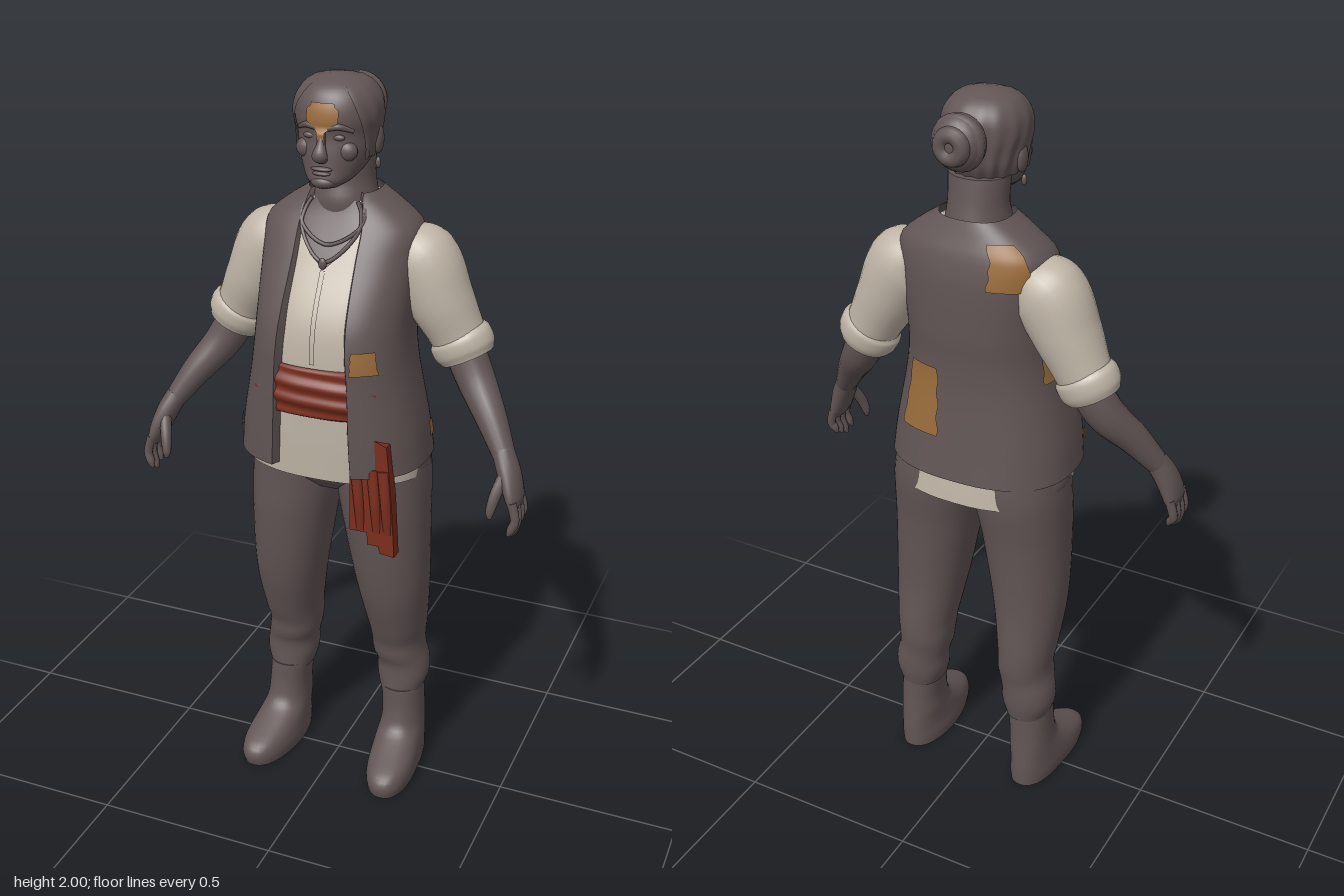
import * as THREE from 'three';

const PI = Math.PI;
const paint = (name, color) => Object.assign(
  new THREE.MeshStandardMaterial({ color, side: THREE.DoubleSide }), { name });

// Surface from a rule fn(u, v); u runs around, v runs along, optional flat end caps
function grid(fn, nu, nv, closed = false, caps = false) {
  const rows = [];
  for (let j = 0; j <= nv; j++) {
    const row = [];
    for (let i = 0; i < (closed ? nu : nu + 1); i++) row.push(fn(i / nu, j / nv));
    rows.push(row);
  }
  if (caps) {
    const middle = (row) => {
      const c = new THREE.Vector3();
      row.forEach((p) => c.add(p));
      c.divideScalar(row.length);
      return row.map(() => c);
    };
    const first = rows[0], last = rows[nv];
    rows.unshift(middle(first), first);
    rows.push(last, middle(last));
  }
  const n = rows[0].length, index = [];
  for (let j = 0; j < rows.length - 1; j++) {
    for (let i = 0; i < nu; i++) {
      const a = j * n + i, b = j * n + (i + 1) % n;
      index.push(a, b, b + n, a, b + n, a + n);
    }
  }
  const g = new THREE.BufferGeometry().setFromPoints(rows.flat());
  g.setIndex(index);
  g.computeVertexNormals();
  return g;
}

// Smooth lookup in a table of rows [y, xMin, xMax, zFront, zBack, ...]
function rowAt(t, y) {
  let k = 0;
  while (k < t.length - 2 && y > t[k + 1][0]) k++;
  const a = t[k], b = t[k + 1], p = t[k - 1] || a, q = t[k + 2] || b;
  const h = b[0] - a[0], s = (y - a[0]) / h;
  return a.map((_, i) => {
    const m0 = (b[i] - p[i]) / (b[0] - p[0]) * h, m1 = (q[i] - a[i]) / (q[0] - a[0]) * h;
    return (2 * s ** 3 - 3 * s * s + 1) * a[i] + (s ** 3 - 2 * s * s + s) * m0
      + (3 * s * s - 2 * s ** 3) * b[i] + (s ** 3 - s * s) * m1;
  });
}
const power = (v, e) => Math.sign(v) * Math.abs(v) ** e;

// Point on a body; the angle starts at the front and turns toward +x
function bodyPoint(body, y, angle, off = 0) {
  const [, x0, x1, zf, zb] = rowAt(body.table, y), e = 2 / body.n;
  const p = new THREE.Vector3(
    (x0 + x1) / 2 + ((x1 - x0) / 2 + off) * power(Math.sin(angle), e), y,
    (zf + zb) / 2 + ((zf - zb) / 2 + off) * power(Math.cos(angle), e));
  if (body.warp) body.warp(p);
  return p;
}
function loft(body, nv = 36, nu = 40) {
  const lo = body.table[0][0], hi = body.table.at(-1)[0];
  return grid((u, v) => bodyPoint(body, lo + (hi - lo) * v, u * 2 * PI), nu, nv, true, true);
}
// Thin piece lying on a body
function patch(body, y0, y1, a0, a1, off = 0.005, width = () => 1, nu = 14, nv = 14) {
  const mid = (a0 + a1) / 2, half = (a1 - a0) / 2;
  const lift = typeof off === 'function' ? off : () => off;
  return grid((u, v) => bodyPoint(body, y0 + (y1 - y0) * v,
    mid + half * (2 * u - 1) * width(v), lift(u, v)), nu, nv);
}
// Limb along stations [x, y, z, radius across, radius in depth]
function limb(st, nu = 18, nv = 20) {
  const curve = new THREE.CatmullRomCurve3(st.map((s) => new THREE.Vector3(...s)));
  const table = st.map((s, i) => [i / (st.length - 1), s[3], s[4] ?? s[3]]);
  return grid((u, v) => {
    const t = curve.getTangent(v);
    const b = new THREE.Vector3(0, 0, 1).addScaledVector(t, -t.z).normalize();
    const n = b.clone().cross(t), [, ra, rb] = rowAt(table, v), a = u * 2 * PI;
    return curve.getPoint(v).addScaledVector(n, ra * Math.cos(a)).addScaledVector(b, rb * Math.sin(a));
  }, nu, nv, true, true);
}
const blob = (x, y, z, rx, ry, rz) =>
  new THREE.SphereGeometry(1, 20, 14).scale(rx, ry, rz).translate(x, y, z);
// Mirror across x = 0, keeping faces outward
function mirrored(g) {
  const m = g.clone().scale(-1, 1, 1), ix = m.index.array;
  for (let i = 0; i < ix.length; i += 3) [ix[i], ix[i + 1]] = [ix[i + 1], ix[i]];
  m.computeVertexNormals();
  return m;
}

export function createModel() {
  const model = new THREE.Group();
  const umber = paint('umber', 0x625555), cream = paint('cream', 0xbfb4a6);
  const red = paint('brick red', 0x7a2d1d), tan = paint('tan', 0x9a6c3b);
  const add = (name, g, mat) => {
    const m = new THREE.Mesh(g, mat);
    m.name = name;
    model.add(m);
  };
  const pair = (name, g, mat) => { add(name + 'Left', g, mat); add(name + 'Right', mirrored(g), mat); };
  const sym = (rows) => rows.map(([y, r, ...rest]) => [y, -r, r, ...rest]);

  // Head, neck and face
  const head = { n: 2.1, table: sym([[1.735, .03, .105, .04], [1.75, .055, .117, -.01], [1.78, .078, .113, -.07],
    [1.82, .093, .109, -.1], [1.86, .1, .104, -.108], [1.9, .107, .108, -.11], [1.94, .102, .1, -.105],
    [1.97, .083, .08, -.085], [1.988, .055, .047, -.055], [1.996, .012, .01, -.015]]) };
  add('head', loft(head, 44), umber);
  add('neck', loft({ n: 2, table: sym([[1.6, .1, .03, -.13], [1.68, .085, .04, -.132],
    [1.73, .077, .028, -.122], [1.8, .08, .03, -.11]]) }, 16), umber);
  add('nose', limb([[0, 1.875, .103, .008, .008], [0, 1.845, .113, .011, .011],
    [0, 1.818, .122, .02, .015], [0, 1.805, .112, .016, .01]]), umber);
  add('upperLip', blob(0, 1.784, .112, .028, .006, .01), umber);
  add('lowerLip', blob(0, 1.773, .111, .024, .006, .011), umber);
  add('chin', blob(0, 1.75, .1, .032, .017, .022), umber);
  pair('brow', limb([[.014, 1.882, .104, .007], [.04, 1.887, .1, .008], [.07, 1.875, .079, .005]]), umber);
  pair('eye', blob(.037, 1.86, .094, .017, .008, .008), umber);
  pair('cheek', blob(.052, 1.825, .078, .028, .025, .02), umber);
  pair('ear', blob(.1, 1.838, -.012, .012, .035, .022), umber);
  pair('earring', blob(.102, 1.782, -.005, .007, .014, .007), umber);
  add('foreheadPaint', patch(head, 1.835, 1.942, -.36, .36, (u, v) => v < .4 ? .014 : .005,
    (v) => v < .4 ? .22 : Math.min(1, .35 + (v - .4) * 3.5) * (v > .9 ? .75 : 1)), tan);

  // Swept-back hair and coiled bun
  add('hair', patch(head, 1.8, 1.995, 1.25, 2 * PI - 1.25,
    (u, v) => .004 + .003 * Math.sin(u * 70) * (1 - v), (v) => 1 + .4 * v, 90, 20), umber);
  add('bun', blob(0, 1.9, -.14, .068, .07, .052), umber);
  for (const [r, z] of [[.05, -.145], [.028, -.178]]) {
    add('bunCoil', new THREE.TorusGeometry(r, .021, 10, 28).translate(0, 1.9, z), umber);
  }

  // Shirt, open neckline and necklace
  const shirt = { n: 2.5, table: sym([[.975, .238, .172, -.19], [1.1, .23, .178, -.172], [1.25, .2, .18, -.155],
    [1.4, .185, .165, -.16], [1.55, .185, .09, -.158], [1.62, .175, .052, -.148], [1.66, .13, .032, -.138],
    [1.69, .085, .022, -.125]]),
  warp: (p) => { if (p.y < 1.08) p.y -= (1.08 - p.y) * Math.max(0, .15 - p.z) * 1.1; } };
  add('shirt', loft(shirt, 40, 48), cream);
  add('openNeckline', patch(shirt, 1.53, 1.685, -.5, .5, .005, (v) => Math.min(1, .02 + v * 1.15)), umber);
  add('shirtPlacket', patch(shirt, 1.3, 1.525, -.015, .015, .004), cream);
  for (const [drop, side] of [[1.545, .3], [1.585, .38]]) {
    const pts = [];
    for (let i = 0; i <= 20; i++) {
      const k = i / 10 - 1;
      pts.push(bodyPoint(shirt, drop + (1.685 - drop) * Math.abs(k) ** 1.3, side * 1.8 * k, .012));
    }
    add('necklace', new THREE.TubeGeometry(new THREE.CatmullRomCurve3(pts), 50, .005, 6), umber);
  }
  add('pendant', blob(0, 1.543, .108, .011, .015, .007), umber);

  // Waist sash with its hanging tail
  add('sash', patch(shirt, 1.155, 1.29, -.75, .75,
    (u, v) => .019 * Math.sin(PI * v) ** .35 + .004 * Math.sin(v * 19 + u * 3), () => 1, 24, 30), red);
  const tail = new THREE.Shape([[.1, 1.14], [.2, 1.1], [.215, .95], [.225, .785], [.185, .79], [.18, .81],
    [.15, .81], [.148, .845], [.1, .845]].map((p) => new THREE.Vector2(...p)));
  add('sashTail', new THREE.ExtrudeGeometry(tail, { depth: .035, bevelEnabled: false })
    .translate(0, 0, .135), red);
  for (const x of [.125, .17, .2]) {
    add('sashFold', limb([[x - .01, 1.03, .165, .016, .012], [x, .93, .168, .014, .013],
      [x + .005, .85, .163, .013, .01]]), red);
  }

  // Open vest; the last number in each row is half the front opening
  const vest = { n: 2.5, table: sym([[1.005, .255, .203, -.195, .11], [1.1, .244, .205, -.184, .105],
    [1.25, .216, .206, -.17, .1], [1.33, .205, .205, -.17, .095], [1.41, .202, .185, -.176, .09],
    [1.55, .207, .107, -.175, .085], [1.62, .203, .066, -.164, .085], [1.66, .16, .045, -.15, .08],
    [1.705, .092, .032, -.135, .07]]) };
  const edge = (y) => {
    const r = rowAt(vest.table, y);
    return Math.asin(Math.min(1, (r[5] / r[2]) ** (vest.n / 2)));
  };
  const vestY = (v) => 1.005 + .7 * v;
  add('vest', grid((u, v) => {
    const a = edge(vestY(v));
    return bodyPoint(vest, vestY(v), a + u * 2 * (PI - a));
  }, 60, 44), umber);
  pair('vestFrontEdge', grid((u, v) => bodyPoint(vest, vestY(v), edge(vestY(v)), -.025 * u), 2, 44), umber);
  add('vestHem', grid((u, v) => {
    const a = edge(1.005);
    return bodyPoint(vest, 1.005, a + u * 2 * (PI - a), -.025 * (1 - v));
  }, 60, 2), umber);

  // Cloth patches: bottom, top, start angle, end angle
  for (const [y0, y1, a0, a1] of [[1.29, 1.35, .43, .85], [1.55, 1.662, PI + .33, PI + .98],
    [1.12, 1.31, PI - .68, PI - .14], [1.28, 1.41, 1.5 * PI - .42, 1.5 * PI + .03],
    [1.05, 1.09, 1.5 * PI + .22, 1.5 * PI + .45], [1.06, 1.1, PI / 2 + .08, PI / 2 + .25]]) {
    add('clothPatch', patch(vest, y0, y1, a0, a1, .005, (v) => 1 - .15 * v + .04 * Math.sin(v * 17)), tan);
  }

  // Sleeves with rolled cuffs, forearms and hands
  pair('sleeve', limb([[.15, 1.57, -.06, .065, .075], [.2, 1.53, -.06, .098, .092], [.255, 1.43, -.06, .087, .088],
    [.3, 1.345, -.065, .074, .072], [.325, 1.295, -.065, .073, .066]], 26, 28), cream);
  pair('rolledCuff', limb([[.302, 1.345, -.065, .074, .068], [.31, 1.33, -.065, .084, .076],
    [.323, 1.302, -.065, .083, .074], [.333, 1.282, -.064, .072, .064]], 26, 14), cream);
  pair('forearm', limb([[.31, 1.32, -.07, .055, .05], [.36, 1.23, -.05, .051, .05],
    [.42, 1.15, -.002, .041, .042], [.472, 1.07, .04, .029, .033]]), umber);
  pair('palm', limb([[.465, 1.085, .035, .029, .032], [.492, 1.03, .055, .029, .043],
    [.512, .975, .067, .022, .05], [.518, .95, .068, .013, .045]]), umber);
  for (let i = 0; i < 4; i++) {
    const z = .03 + i * .025, tip = .872 + .012 * Math.abs(i - 2);
    pair('finger', limb([[.515, .975, z, .013], [.527, .925, z + .003, .012],
      [.518, tip + .015, z + .006, .011], [.512, tip, z + .008, .005]], 10, 10), umber);
  }
  pair('thumb', limb([[.485, 1.035, .075, .017], [.47, .985, .105, .015], [.463, .945, .118, .012],
    [.463, .927, .12, .006]], 10, 12), umber);

  // Trousers gathered over the boots
  add('hips', loft({ n: 2.3, table: sym([[.9, .13, .07, -.11], [.95, .235, .115, -.172],
    [1.04, .235, .13, -.17]]) }, 14), umber);
  pair('trouserLeg', loft({ n: 2.2, table: [[.235, .112, .232, .006, -.143], [.28, .1, .246, .004, -.152],
    [.33, .098, .243, .004, -.154], [.36, .09, .235, .018, -.154], [.4, .085, .232, .022, -.16],
    [.45, .082, .238, .042, -.16], [.6, .056, .25, .088, -.15], [.8, .02, .25, .115, -.158],
    [.94, -.005, .246, .12, -.174], [1.03, -.005, .235, .125, -.17]] }, 44), umber);
  pair('boot', loft({ n: 2.3, table: [[0, .115, .248, .178, -.145], [.03, .112, .252, .184, -.146],
    [.06, .115, .25, .165, -.146], [.09, .118, .245, .095, -.144], [.12, .12, .24, .035, -.142],
    [.17, .122, .236, .014, -.14], [.25, .115, .232, .008, -.14]],
  warp: (p) => { p.x += .09 * Math.max(0, p.z); } }, 30), umber);
  return model;
}
